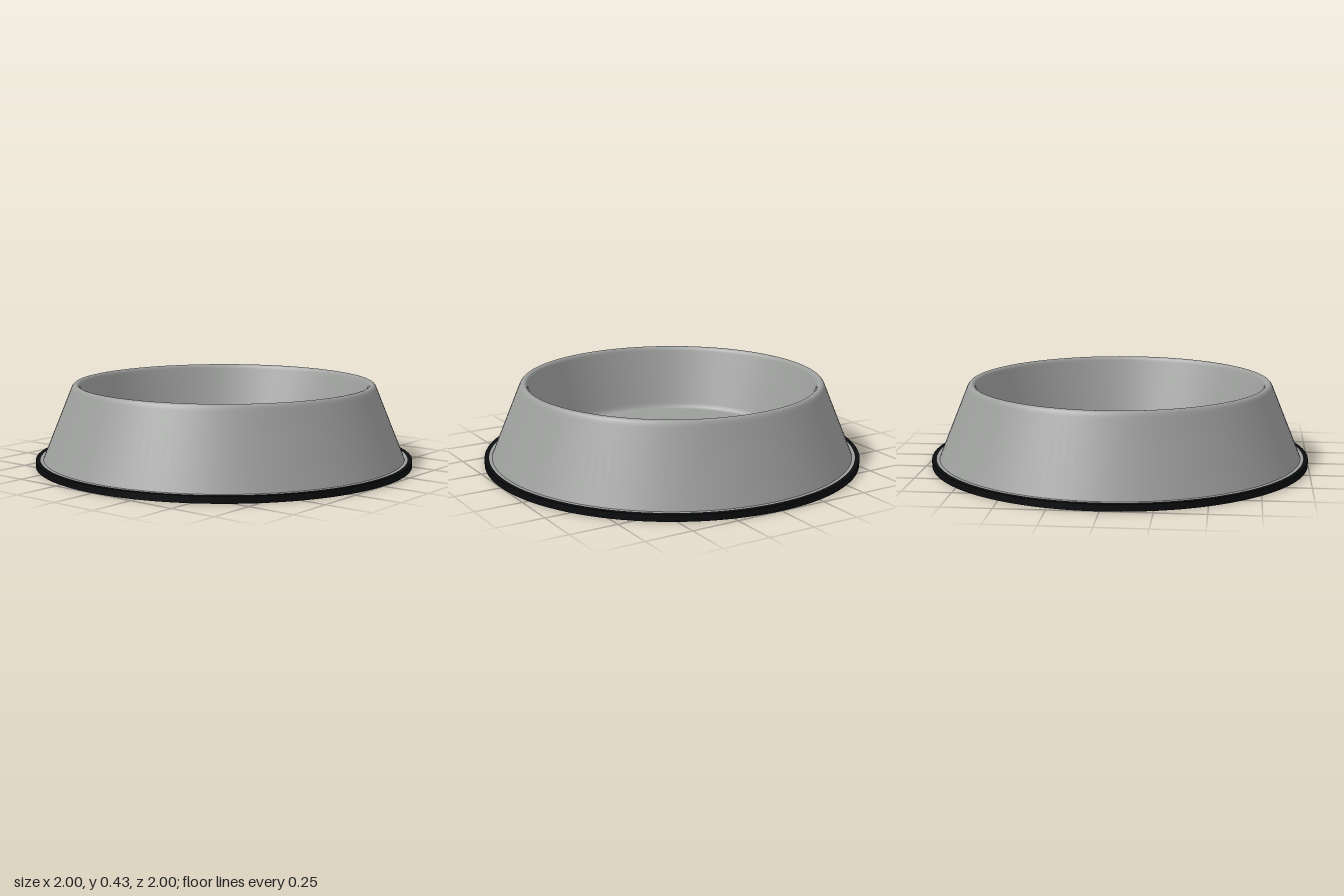
import * as THREE from 'three';

const SEGMENTS = 128;

export function createModel() {
  const steel = new THREE.MeshStandardMaterial({ color: 0x9c9e9c });
  steel.name = 'brushed grey';
  const rubber = new THREE.MeshStandardMaterial({ color: 0x0b0c0e });
  rubber.name = 'black rubber';

  const model = new THREE.Group();
  model.name = 'bowl';

  // Revolves a profile of [radius, height] pairs, listed outside going up
  const lathe = (name, profile, material) => {
    const points = profile.map(([r, y]) => new THREE.Vector2(r, y));
    const mesh = new THREE.Mesh(new THREE.LatheGeometry(points, SEGMENTS), material);
    mesh.name = name;
    model.add(mesh);
  };

  // Points along a rounded corner
  const fillet = (start, corner, end, steps = 5) => {
    const curve = new THREE.QuadraticBezierCurve(
      new THREE.Vector2(...start), new THREE.Vector2(...corner), new THREE.Vector2(...end));
    return curve.getPoints(steps).map((p) => [p.x, p.y]);
  };

  // Sloping outer wall, rounded lip, inner wall and dish floor
  lathe('bowlShell', [
    [0.96, 0.034], [0.958, 0.039], [0.811, 0.4],
    ...fillet([0.808, 0.407], [0.799, 0.43], [0.786, 0.43]),
    ...fillet([0.782, 0.43], [0.768, 0.43], [0.762, 0.41]),
    [0.76, 0.404], [0.665, 0.119],
    ...fillet([0.663, 0.113], [0.654, 0.087], [0.636, 0.087]),
    [0.63, 0.087], [0, 0.087],
  ], steel);

  // Narrow flange at the foot of the wall
  lathe('footFlange', [[0.976, 0.035], [0.955, 0.035]], steel);

  // Flat underside
  lathe('underside', [[0, 0], [0.994, 0]], steel);

  // Anti-slip ring around the foot, in separate faces to keep its edges sharp
  lathe('footRingBottom', [[0.994, 0], [1, 0]], rubber);
  lathe('footRingSide', [[1, 0], [1, 0.035]], rubber);
  lathe('footRingTop', [[1, 0.035], [0.976, 0.035]], rubber);

  return model;
}
